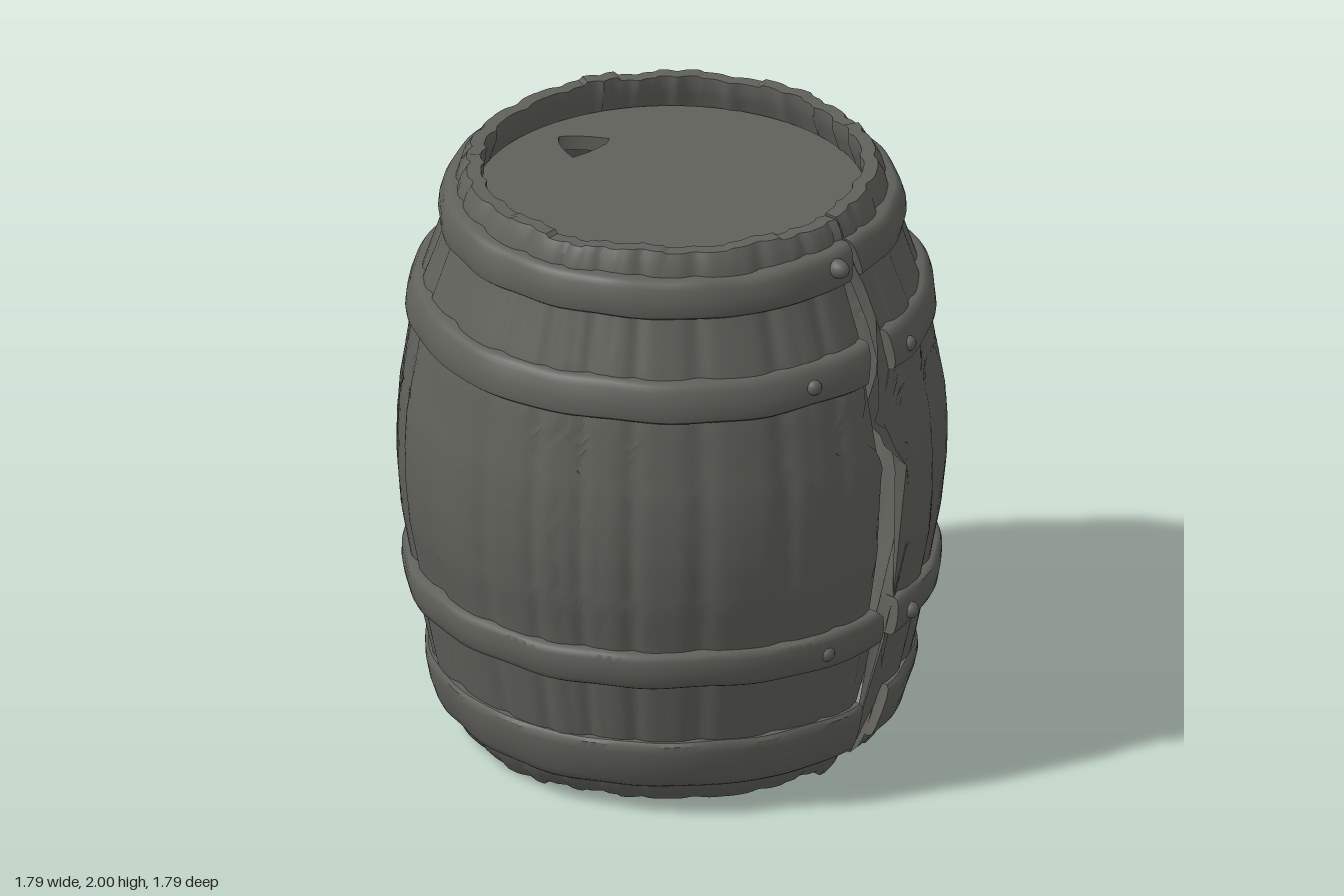
import * as THREE from 'three';
import { toCreasedNormals } from 'three/addons/utils/BufferGeometryUtils.js';

const wood = new THREE.MeshStandardMaterial({ color: 0x60615a, side: THREE.DoubleSide });
wood.name = 'weathered grey wood';

// Linear interpolation through [key, value] pairs
function lerpTable(table, k) {
  if (k <= table[0][0]) return table[0][1];
  for (let i = 1; i < table.length; i++) {
    const [k0, v0] = table[i - 1], [k1, v1] = table[i];
    if (k <= k1) return v0 + (v1 - v0) * (k - k0) / (k1 - k0);
  }
  return table[table.length - 1][1];
}

// Barrel outline: height, radius
const outline = [[0, 0.685], [0.1, 0.73], [0.28, 0.78], [0.5, 0.825], [0.65, 0.85], [0.8, 0.88], [0.95, 0.893],
  [1.08, 0.893], [1.2, 0.885], [1.45, 0.845], [1.6, 0.805], [1.8, 0.735], [1.92, 0.7], [2, 0.68]];

// Ragged split down the front: height, x
const splitLeft = [[0, 0], [0.2, 0], [0.4, 0.02], [0.6, 0.03], [0.69, -0.03], [0.78, -0.03], [0.86, 0.005],
  [0.95, -0.03], [1.05, -0.02], [1.15, 0.015], [1.22, 0], [1.3, -0.09], [1.36, -0.06], [1.42, -0.03], [1.48, -0.035],
  [1.6, 0.005], [1.8, 0], [1.9, 0.025], [2, 0.03]];
const splitRight = [[0, 0.11], [0.15, 0.12], [0.3, 0.17], [0.42, 0.1], [0.55, 0.1], [0.65, 0.12], [0.8, 0.15],
  [0.93, 0.21], [1.02, 0.16], [1.12, 0.14], [1.18, 0.12], [1.2, 0.08], [1.27, 0.06], [1.33, -0.005], [1.4, 0.07],
  [1.48, 0.11], [1.6, 0.1], [1.75, 0.08], [1.85, 0.05], [1.92, 0.035], [2, 0.035]];

const hash = n => { const s = Math.sin(n * 127.1 + 3.7) * 43758.5453; return s - Math.floor(s); };

// Sweeps a closed [radius, height] outline round the barrel, from one side of the split to the other
function splitRing(profile, segments, deform) {
  const pos = [], idx = [], n = profile.length;
  for (let i = 0; i <= segments; i++) {
    for (const [r, y] of profile) {
      const a0 = Math.asin(lerpTable(splitRight, y) / r);
      const a1 = Math.PI * 2 + Math.asin(lerpTable(splitLeft, y) / r);
      const a = a0 + (a1 - a0) * i / segments;
      const [dr, dy] = deform(a, r, y);
      pos.push((r + dr) * Math.sin(a), y + dy, (r + dr) * Math.cos(a));
    }
  }
  for (let i = 0; i < segments; i++) {
    for (let j = 0; j < n; j++) {
      const k = (j + 1) % n, a = i * n, b = a + n;
      idx.push(a + j, b + j, b + k, a + j, b + k, a + k);
    }
  }
  const end = segments * n;
  const contour = profile.map(([r, y]) => new THREE.Vector2(r, y));
  for (const [a, b, c] of THREE.ShapeUtils.triangulateShape(contour, [])) {
    idx.push(a, b, c, end + a, end + c, end + b);
  }
  const g = new THREE.BufferGeometry();
  g.setAttribute('position', new THREE.Float32BufferAttribute(pos, 3));
  g.setIndex(idx);
  return toCreasedNormals(g, 0.7);
}

// Stave grooves, gentle dents and uneven stave ends
const STAVES = 26;
function staveShape(a, r, y) {
  const u = a * STAVES / (Math.PI * 2) + 0.25 * Math.sin(a * 5);
  const edge = Math.pow(Math.abs(Math.cos(u * Math.PI)), 10);
  const s = Math.floor(u + 0.5);
  const dr = -0.013 * edge + 0.006 * (hash(s) - 0.5) + 0.003 * Math.sin(a * 9 + y * 7);
  const low = Math.max(0, 1 - y / 0.1), high = Math.max(0, 1 - (2 - y) / 0.06);
  return [dr, 0.03 * hash(s + 40) * low - 0.014 * hash(s + 80) * high];
}

const dent = (a, r, y) => [
  0.004 * Math.sin(a * 7 + y * 5) + 0.003 * Math.sin(a * 17 + y * 11),
  0.004 * Math.sin(a * 6 + y) + 0.002 * Math.sin(a * 15)];

function wallProfile() {
  const outer = [], inner = [], steps = 50;
  for (let i = 0; i <= steps; i++) {
    const y = 2 * i / steps, r = lerpTable(outline, y);
    const rounding = i === 0 || i === steps ? 0.012 : 0;
    outer.push([r - rounding, y]);
    inner.unshift([r - 0.05 - 0.02 * Math.max(0, (y - 1.6) / 0.4) + rounding, y]);
  }
  return [...outer, ...inner];
}

// Rounded strap: low edge, high edge, outer radius at each
function hoopProfile(y0, y1, r0, r1) {
  const at = (t, d) => [r0 + (r1 - r0) * t + d, y0 + (y1 - y0) * t];
  return [at(0, -0.05), at(0, -0.015), at(0.06, -0.003), at(0.2, 0.004), at(0.5, 0.008),
    at(0.8, 0.004), at(0.94, -0.003), at(1, -0.015), at(1, -0.05)];
}

export function createModel() {
  const barrel = new THREE.Group();
  barrel.name = 'brokenBarrel';
  const add = (name, geometry) => {
    const mesh = new THREE.Mesh(geometry, wood);
    mesh.name = name;
    barrel.add(mesh);
    return mesh;
  };

  add('staves', splitRing(wallProfile(), 312, staveShape));

  const hoops = [
    ['bottomHoop', 0.1, 0.28, 0.757, 0.803],
    ['lowerHoop', 0.505, 0.635, 0.86, 0.872],
    ['upperHoop', 1.465, 1.6, 0.862, 0.832],
    ['topHoop', 1.79, 1.92, 0.758, 0.735]];
  for (const [name, ...size] of hoops) add(name, splitRing(hoopProfile(...size), 160, dent));

  // Sunken lid with a chipped hole near the back
  const disc = new THREE.Shape().absarc(0, 0, 0.635, 0, Math.PI * 2);
  const hole = new THREE.Path();
  hole.moveTo(-0.005, 0.41);
  hole.quadraticCurveTo(0.03, 0.51, 0.08, 0.54);
  hole.quadraticCurveTo(0.13, 0.51, 0.175, 0.405);
  hole.lineTo(0.14, 0.39);
  hole.lineTo(0.06, 0.395);
  hole.closePath();
  disc.holes.push(hole);
  const lid = new THREE.ExtrudeGeometry(disc, { depth: 0.05, bevelEnabled: false, curveSegments: 64 });
  lid.rotateX(-Math.PI / 2);
  add('lid', lid).position.y = 1.83;

  // Nails holding the hoop ends: x, y, hoop radius, head size
  const nails = [[-0.06, 1.87, 0.755, 0.032], [-0.25, 1.53, 0.85, 0.026], [0.21, 1.52, 0.855, 0.026],
    [-0.22, 0.565, 0.87, 0.026], [0.2, 0.565, 0.87, 0.028]];
  for (const [x, y, r, size] of nails) {
    const nail = add('nail', new THREE.SphereGeometry(size, 14, 10));
    const a = Math.asin(x / r);
    nail.position.set(x, y, r * Math.cos(a));
    nail.rotation.y = a;
    nail.scale.z = size > 0.03 ? 1.4 : 0.9;
  }
  return barrel;
}
